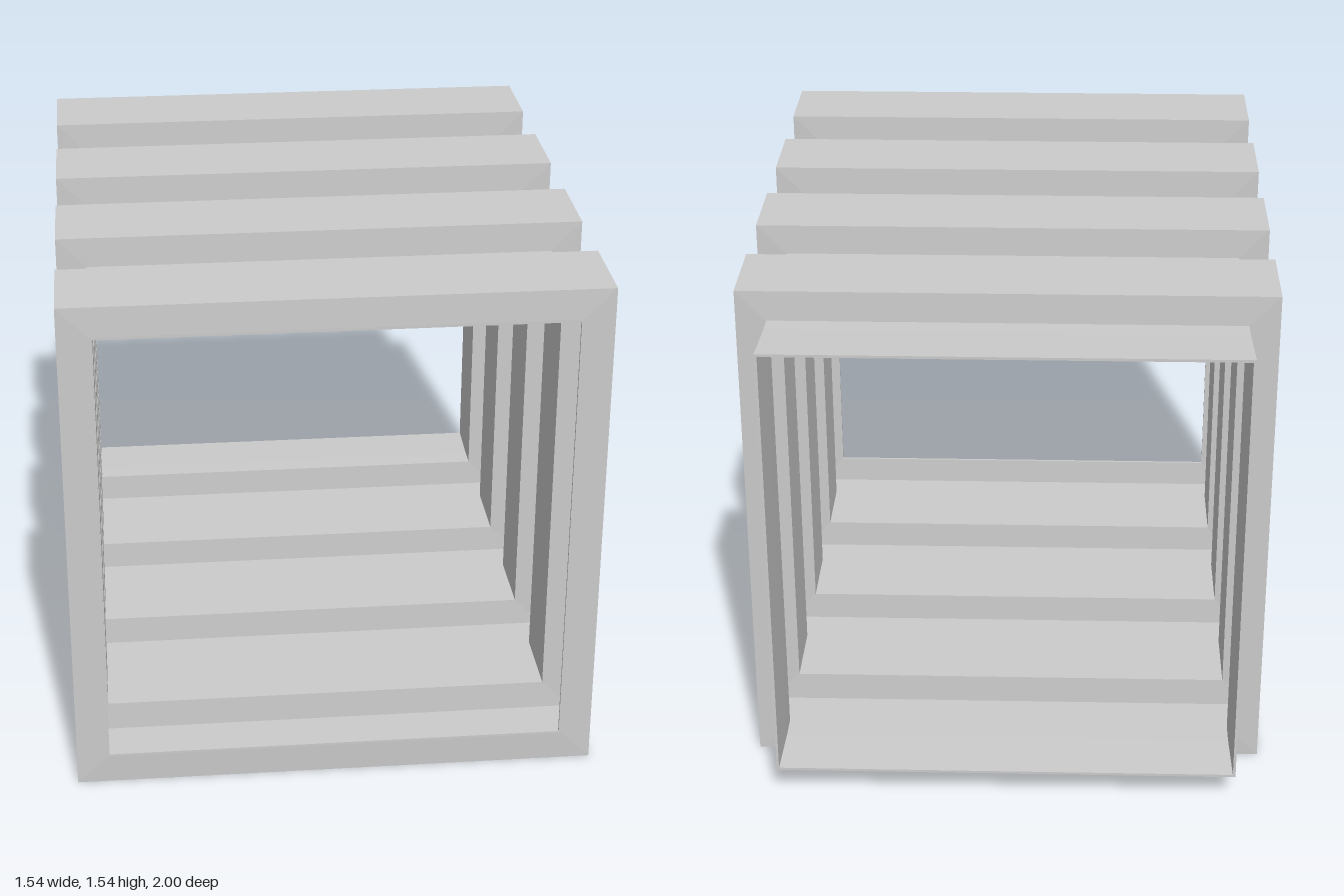
import * as THREE from 'three';

// Corrugated square duct: a thin folded sheet swept around four sides.
export function createModel() {
  const group = new THREE.Group();
  group.name = 'corrugatedDuct';

  const ridge = 0.768, valley = 0.68, t = 0.008; // half widths, sheet thickness
  const pitch = 0.495, width = 0.27, lean = 0.004;
  const fronts = [3, 2, 1, 0].map((i) => 1 - i * pitch); // front of each ridge, back to front

  // Outer skin from back to front
  const outer = [[0.685, -1], [valley, -0.83]];
  for (const z of fronts) {
    outer.push([valley, z - width - 2 * lean], [ridge, z - width - lean], [ridge, z - lean], [valley, z]);
  }

  // Inner skin from front to back
  const inner = [[valley - t, 1]];
  for (const z of [...fronts].reverse()) {
    inner.push(
      [valley - t, z - t], [ridge - t, z - lean - t],
      [ridge - t, z - width - lean + t], [valley - t, z - width - 2 * lean + t]
    );
  }
  inner.push([valley - t, -0.83], [0.685 - t, -1]);

  // Closed wall section turned in four steps makes the square tube
  const section = [...outer, ...inner, outer[0]]
    .map(([half, z]) => new THREE.Vector2(half * Math.SQRT2, z));
  const geometry = new THREE.LatheGeometry(section, 4, Math.PI / 4).toNonIndexed();
  geometry.rotateX(Math.PI / 2);
  geometry.computeVertexNormals();

  const material = new THREE.MeshStandardMaterial({
    color: 0xcccccc, flatShading: true, side: THREE.DoubleSide
  });
  const duct = new THREE.Mesh(geometry, material);
  duct.name = 'foldedWall';
  duct.position.y = ridge;
  group.add(duct);
  return group;
}
